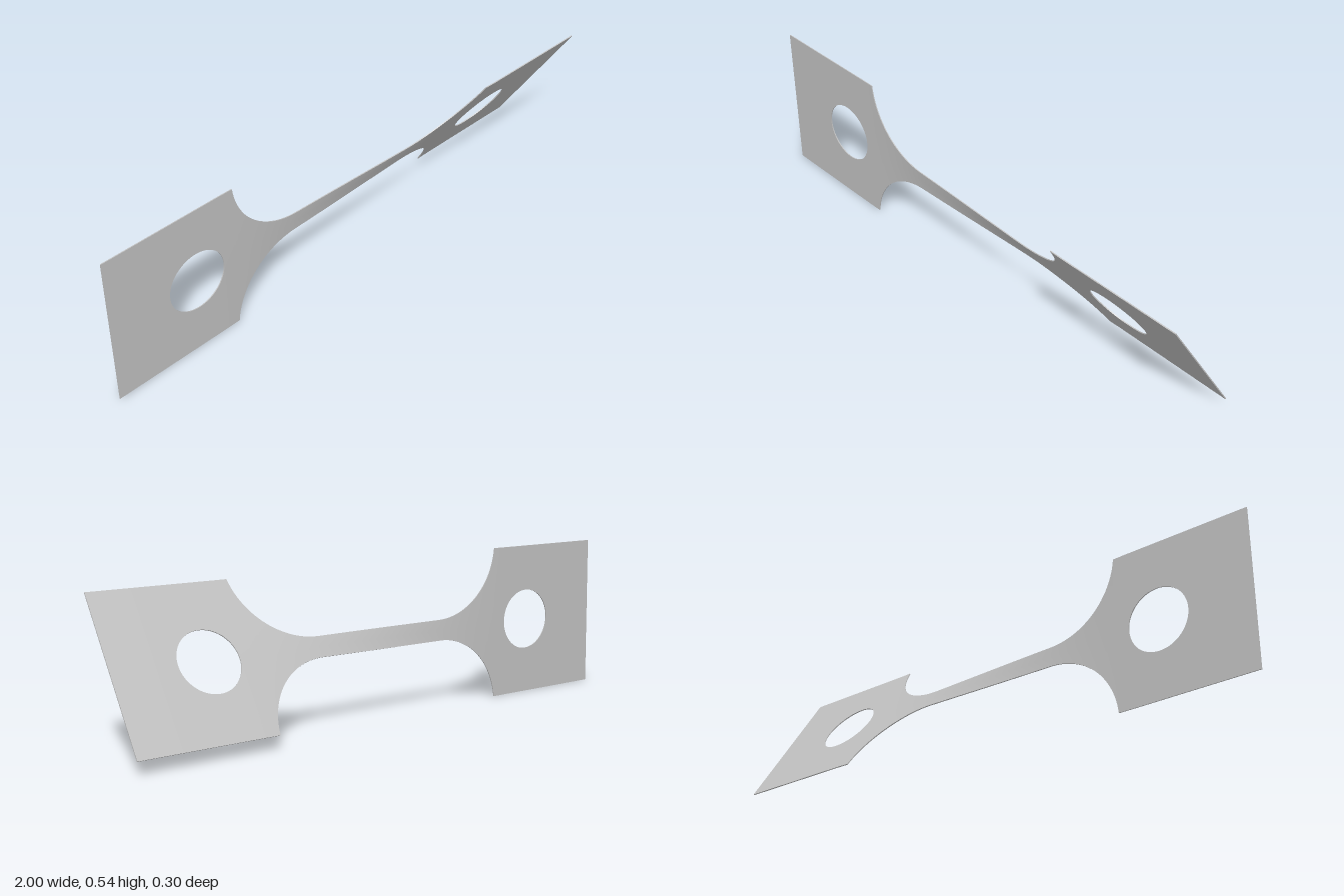
import * as THREE from 'three';
import { toCreasedNormals } from 'three/addons/utils/BufferGeometryUtils.js';

const HALF = 0.27, NECK = 0.036, THICK = 0.0035, CENTER_Y = 0.271;
const HOLE_X = 0.67, HOLE_R = 0.108;
const ARC_R = 0.26, ARC_X = 0.255, ARC_Y = NECK + ARC_R;

// Half height of the plate outline: wide tab, round shoulder, slim neck
function outer(x) {
  const d = Math.abs(x) - ARC_X;
  if (d <= 0) return NECK;
  if (d >= ARC_R) return HALF;
  return Math.min(HALF, ARC_Y - Math.sqrt(ARC_R * ARC_R - d * d));
}

// Half height of the round hole in each tab
function inner(x) {
  const d = Math.abs(x) - HOLE_X, h = HOLE_R * HOLE_R - d * d;
  return h > 1e-8 ? Math.sqrt(h) : 0;
}

// Twist about the long axis, spread over the neck
function twist(x) {
  const a = 0.6 + 33 * THREE.MathUtils.smoothstep(x, -0.56, 0.56);
  return THREE.MathUtils.degToRad(a);
}

// Stations along the bar, closer together round the hole and the shoulder
function stations() {
  const half = [0, 0.05, 0.1, 0.15, 0.2];
  const corner = Math.acos((ARC_Y - HALF) / ARC_R);
  for (let i = 0; i <= 24; i++) half.push(ARC_X + ARC_R * Math.sin(corner * i / 24));
  for (let i = 0; i <= 32; i++) half.push(HOLE_X - HOLE_R * Math.cos(Math.PI * i / 32));
  half.push(0.85, 0.92, 1);
  return [...half.slice(1).reverse().map(x => -x), ...half];
}

function twistedBar() {
  const xs = stations(), pos = [], t = THICK / 2;
  for (const s of [1, -1]) {
    // Four-cornered cross-section of the upper or lower half
    const rings = xs.map(x => {
      const a = twist(x), c = Math.cos(a), n = Math.sin(a);
      return [[inner(x), t], [outer(x), t], [outer(x), -t], [inner(x), -t]].map(([h, z]) => {
        const y = h * s;
        return [x, CENTER_Y + y * c - z * n, y * n + z * c];
      });
    });
    const quad = (a, b, c, d) => {
      const q = s > 0 ? [a, b, c, a, c, d] : [a, c, b, a, d, c];
      q.forEach(p => pos.push(...p));
    };
    for (let i = 0; i < xs.length - 1; i++) {
      const p = rings[i], q = rings[i + 1];
      for (let j = 0; j < 4; j++) {
        // No wall along the centre line outside the hole
        if (j === 3 && inner(xs[i]) === 0 && inner(xs[i + 1]) === 0) continue;
        const k = (j + 1) % 4;
        quad(p[j], q[j], q[k], p[k]);
      }
    }
    // End faces
    quad(...rings[0]);
    quad(...rings[rings.length - 1].slice().reverse());
  }
  const geo = new THREE.BufferGeometry();
  geo.setAttribute('position', new THREE.Float32BufferAttribute(pos, 3));
  return toCreasedNormals(geo, Math.PI / 5);
}

export function createModel() {
  const group = new THREE.Group();
  group.name = 'twistedStrap';
  const steel = new THREE.MeshStandardMaterial({ color: 0xc0c0c0 });
  steel.name = 'light grey steel';
  const bar = new THREE.Mesh(twistedBar(), steel);
  bar.name = 'twistedPlateWithHoles';
  group.add(bar);
  return group;
}
